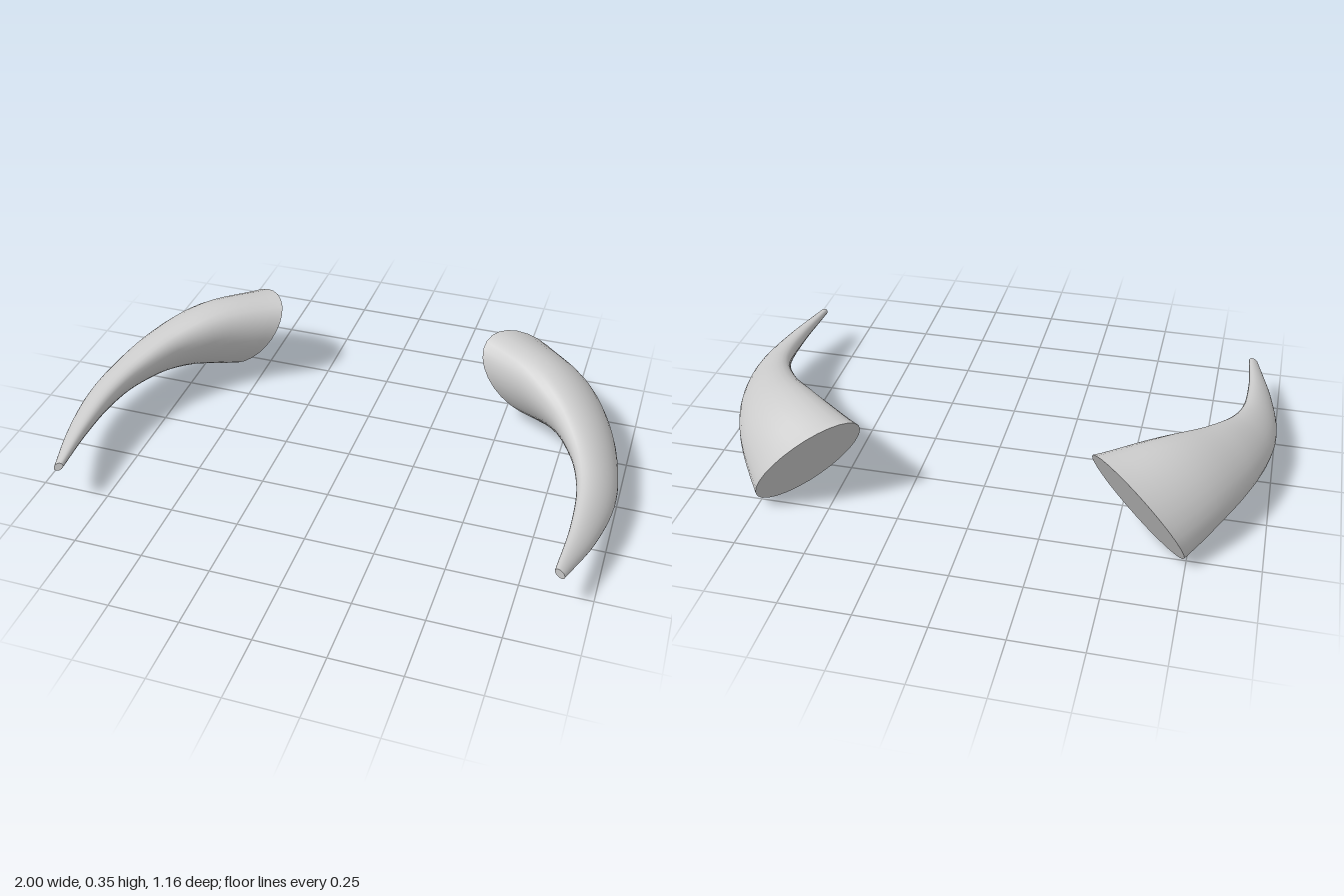
import * as THREE from 'three';

const SIDES = 28, STEPS = 36;

// Stations along the horn: x, y, z of the centre, then long and short radius
const STATIONS = [
  [0.575, 0.165, -0.47, 0.229, 0.138],
  [0.715, 0.185, -0.335, 0.18, 0.115],
  [0.825, 0.183, -0.18, 0.138, 0.083],
  [0.903, 0.163, 0, 0.104, 0.058],
  [0.932, 0.148, 0.15, 0.083, 0.046],
  [0.924, 0.142, 0.35, 0.055, 0.031],
  [0.886, 0.148, 0.572, 0.021, 0.013],
];
const BASE_NORMAL = new THREE.Vector3(0.612, 0.46, 0.643); // slanted cut at the root
const LONG_AXIS = new THREE.Vector3(0.72, -0.65, -0.2);    // ovals lean outward and down

// Sweeps a tapering oval along the curved spine; side is +1 (left) or -1 (right)
function hornGeometry(side) {
  const spine = new THREE.CatmullRomCurve3(STATIONS.map(s => new THREE.Vector3(s[0], s[1], s[2])));
  const radii = new THREE.CatmullRomCurve3(STATIONS.map(s => new THREE.Vector3(s[3], s[4], 0)));
  const pos = [], index = [];
  const push = p => pos.push(side * p.x, p.y, p.z) / 3 - 1;
  const face = (a, b, c) => (side > 0 ? index.push(a, b, c) : index.push(a, c, b));

  const rings = [];
  for (let i = 0; i <= STEPS; i++) {
    const u = i / STEPS, c = spine.getPoint(u), r = radii.getPoint(u);
    const t = BASE_NORMAL.clone().lerp(spine.getTangent(u), THREE.MathUtils.smoothstep(u, 0, 0.24)).normalize();
    const a = LONG_AXIS.clone().addScaledVector(t, -LONG_AXIS.dot(t)).normalize();
    const b = t.clone().cross(a);
    const ring = [];
    for (let j = 0; j < SIDES; j++) {
      const w = (j / SIDES) * Math.PI * 2;
      ring.push(c.clone().addScaledVector(a, r.x * Math.cos(w)).addScaledVector(b, r.y * Math.sin(w)));
    }
    rings.push({ c, ring });
  }

  // Smooth skin
  rings.forEach(({ ring }) => ring.forEach(push));
  for (let i = 0; i < STEPS; i++) {
    for (let j = 0; j < SIDES; j++) {
      const k = (j + 1) % SIDES, p = i * SIDES, q = p + SIDES;
      face(p + j, p + k, q + j);
      face(p + k, q + k, q + j);
    }
  }

  // Flat caps with their own corners, so the rims stay sharp
  const cap = ({ c, ring }, atTip) => {
    const mid = push(c), rim = ring.map(push);
    rim.forEach((v, j) => {
      const n = rim[(j + 1) % SIDES];
      if (atTip) face(mid, v, n);
      else face(mid, n, v);
    });
  };
  cap(rings[0], false);
  cap(rings[STEPS], true);

  const geo = new THREE.BufferGeometry();
  geo.setAttribute('position', new THREE.Float32BufferAttribute(pos, 3));
  geo.setIndex(index);
  geo.computeVertexNormals();
  return geo;
}

export function createModel() {
  const model = new THREE.Group();
  model.name = 'hornPair';
  const material = new THREE.MeshStandardMaterial({ color: 0xcccccc });
  for (const [name, side] of [['leftHorn', 1], ['rightHorn', -1]]) {
    const horn = new THREE.Mesh(hornGeometry(side), material);
    horn.name = name;
    model.add(horn);
  }
  return model;
}
